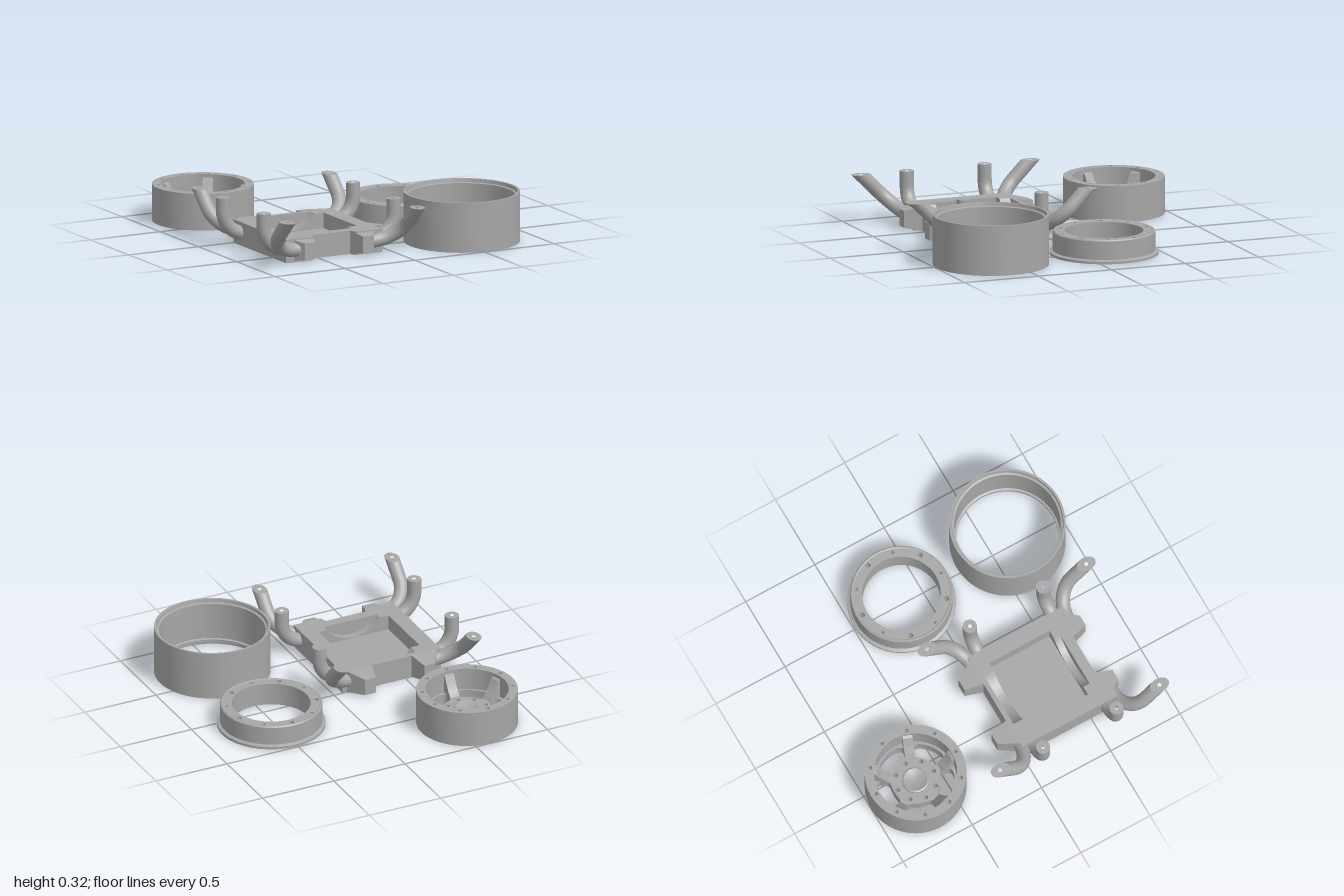
import * as THREE from 'three';
import { toCreasedNormals } from 'three/addons/utils/BufferGeometryUtils.js';

const TAU = Math.PI * 2;

export function createModel() {
  const model = new THREE.Group();
  const grey = new THREE.MeshStandardMaterial({ color: 0xa6a6a6 });
  grey.name = 'plain grey';

  const add = (parent, name, geo, crease = 0.6) => {
    const mesh = new THREE.Mesh(crease ? toCreasedNormals(geo, crease) : geo, grey);
    mesh.name = name;
    parent.add(mesh);
    return mesh;
  };
  const group = (name, x, z) => {
    const g = new THREE.Group();
    g.name = name;
    g.position.set(x, 0, z);
    model.add(g);
    return g;
  };
  const circle = (r, n = 72, cx = 0, cz = 0) => Array.from({ length: n }, (_, i) =>
    new THREE.Vector2(cx + r * Math.cos(i / n * TAU), cz + r * Math.sin(i / n * TAU)));
  const polygon = (pts) => new THREE.Shape(pts.map((p) => new THREE.Vector2(...p)));
  const punch = (shape, pts) => shape.holes.push(new THREE.Path(pts));
  const punchRing = (shape, count, ringR, r, start) => {
    for (let i = 0; i < count; i++) {
      const a = start + i / count * TAU;
      punch(shape, circle(r, 14, ringR * Math.cos(a), ringR * Math.sin(a)));
    }
  };
  // Horizontal slab from a plan drawn in (x, z)
  const slab = (shape, y0, y1) =>
    new THREE.ExtrudeGeometry(shape, { depth: y1 - y0, bevelEnabled: false, curveSegments: 24 })
      .rotateX(Math.PI / 2).translate(0, y1, 0);
  // Closed ring from an (r, y) profile, listed counterclockwise
  const ring = (pts) => new THREE.LatheGeometry(
    [...pts, pts[0]].map((p) => new THREE.Vector2(...p)), 96);

  // ---- Wheel with five spokes ----
  const wheel = group('wheel', -0.595, -0.68);
  const rim = new THREE.Shape(circle(0.32, 96));
  punch(rim, circle(0.262, 96));
  punchRing(rim, 10, 0.287, 0.013, Math.PI / 2);
  add(wheel, 'wheelRim', slab(rim, 0, 0.235));

  const disc = new THREE.Shape(circle(0.264, 96));
  punchRing(disc, 8, 0.13, 0.015, 0);
  punch(disc, circle(0.08, 40));
  for (let i = 0; i < 5; i++) {
    // Rounded window between two spokes
    const mid = -Math.PI / 2 + i / 5 * TAU;
    const pts = [];
    for (let k = 0; k < 40; k++) {
      const t = k / 40 * TAU, c = Math.cos(t), s = Math.sin(t);
      const a = mid + 0.49 * Math.sign(c) * Math.sqrt(Math.abs(c));
      const r = 0.201 + 0.046 * Math.sign(s) * Math.sqrt(Math.abs(s));
      pts.push(new THREE.Vector2(r * Math.cos(a), r * Math.sin(a)));
    }
    punch(disc, pts);
  }
  add(wheel, 'wheelDisc', slab(disc, 0.008, 0.09));

  const spoke = polygon([[0.155, 0.05], [0.265, 0.05], [0.265, 0.215], [0.245, 0.205],
    [0.225, 0.165], [0.2, 0.125], [0.175, 0.1]]);
  for (let i = 0; i < 5; i++) {
    const geo = new THREE.ExtrudeGeometry(spoke, { depth: 0.064, bevelEnabled: false });
    geo.translate(0, 0, -0.032);
    add(wheel, 'spoke', geo).rotation.y = -(Math.PI / 2 + i / 5 * TAU);
  }
  add(wheel, 'hubCap', new THREE.LatheGeometry([[0, 0.015], [0.07, 0.015], [0.085, 0.008],
    [0.085, 0.105], [0.075, 0.11], [0.055, 0.1], [0, 0.09]].map((p) => new THREE.Vector2(...p)), 48));

  // ---- Flanged bead ring ----
  const bead = group('beadRing', 0.515, -0.15);
  const beadPlan = new THREE.Shape(circle(0.305, 96));
  punch(beadPlan, circle(0.247, 96));
  punchRing(beadPlan, 5, 0.284, 0.017, -Math.PI / 2);
  punchRing(beadPlan, 5, 0.284, 0.011, Math.PI / 2);
  add(bead, 'beadRingBody', slab(beadPlan, 0, 0.147));
  add(bead, 'beadRingFlange', ring([[0.304, 0], [0.342, 0], [0.342, 0.016], [0.322, 0.024],
    [0.322, 0.143], [0.316, 0.15], [0.31, 0.15], [0.304, 0.146]]));

  // ---- Large outer barrel ----
  const barrel = group('outerBarrel', 0.54, 0.63);
  add(barrel, 'barrelWall', ring([[0.352, 0], [0.366, 0], [0.366, 0.32], [0.352, 0.32],
    [0.348, 0.298], [0.335, 0.294], [0.335, 0.05], [0.322, 0.045], [0.322, 0.025], [0.348, 0.02]]));

  // ---- Chassis with pocket ----
  const chassis = group('chassis', -0.405, 0);
  const outline = [[-0.345, 0], [0.345, 0], [0.345, 0.69], [0.155, 0.69],
    [0.138, 0.645], [-0.138, 0.645], [-0.155, 0.69], [-0.345, 0.69]];
  const pocket = [[-0.245, 0.03], [0.245, 0.03], [0.245, 0.58], [-0.245, 0.58]];
  const frame = polygon(outline);
  punch(frame, pocket.map((p) => new THREE.Vector2(...p)));
  add(chassis, 'chassisFloor', slab(polygon(outline), 0, 0.05));
  add(chassis, 'chassisFrame', slab(frame, 0.05, 0.15));

  // Curved saddles at both ends of the pocket
  const saddle = new THREE.Shape();
  saddle.moveTo(-0.245, 0.05);
  saddle.lineTo(0.245, 0.05);
  saddle.lineTo(0.245, 0.15);
  saddle.lineTo(0.185, 0.15);
  saddle.absarc(0, 0.2827, 0.2277, -0.622, -2.519, true);
  saddle.lineTo(-0.245, 0.15);
  for (const [z0, z1] of [[0.03, 0.1], [0.535, 0.58]]) {
    const geo = new THREE.ExtrudeGeometry(saddle, { depth: z1 - z0, bevelEnabled: false, curveSegments: 24 });
    add(chassis, 'saddle', geo.translate(0, 0, z0));
  }

  // Tapered lugs at the four corners
  const lug = (sx, z0, z1) => {
    const geo = new THREE.BoxGeometry(0.175, 0.15, Math.abs(z1 - z0));
    const p = geo.attributes.position, mid = (z0 + z1) / 2, out = Math.sign(z1 - z0);
    for (let i = 0; i < p.count; i++) {
      const tip = p.getZ(i) * out > 0;
      const x = tip ? 0.208 + p.getX(i) * sx * 0.43 : 0.2275 + p.getX(i) * sx;
      p.setXYZ(i, sx * x, 0.075 + p.getY(i) * (tip ? 0.72 : 1), mid + p.getZ(i));
    }
    add(chassis, 'cornerLug', geo, 0.2);
  };

  // Bent tube arm, its top cut level at y = 0.32
  const R = 0.045, TOP = 0.32, Y0 = 0.08, REACH = 0.465;
  const arm = (sx, z, lean, bend) => {
    const dir = new THREE.Vector3(0, Math.cos(lean), Math.sin(lean));
    const at = (s, v) => new THREE.Vector3(sx * s, Y0, z).addScaledVector(dir, v);
    const pts = [at(0.26, 0)];
    for (let i = 0; i <= 10; i++) {
      const a = i / 10 * Math.PI / 2;
      pts.push(at(REACH - bend + bend * Math.sin(a), bend * (1 - Math.cos(a))));
    }
    const len = (TOP - Y0) / dir.y;
    pts.push(at(REACH, (bend + len) / 2), at(REACH, len), at(REACH, len + 0.07));
    const geo = new THREE.TubeGeometry(new THREE.CatmullRomCurve3(pts), 40, R, 24);
    const p = geo.attributes.position;
    for (let i = 0; i < p.count; i++) {
      const over = (p.getY(i) - TOP) / dir.y;
      if (over > 0) p.setXYZ(i, p.getX(i), TOP, p.getZ(i) - over * dir.z);
    }
    add(chassis, 'arm', geo, 0);

    // Level top face with its bolt hole
    const cap = new THREE.Shape(circle(R, 24).map((q) => new THREE.Vector2(q.x, q.y / dir.y)));
    punch(cap, circle(0.013, 16));
    const end = at(REACH, len);
    add(chassis, 'armTop', new THREE.ShapeGeometry(cap).rotateX(-Math.PI / 2).translate(end.x, TOP, end.z), 0);
  };
  for (const sx of [-1, 1]) {
    lug(sx, 0, -0.12);
    lug(sx, 0.645, 0.755);
    arm(sx, 0.085, 0, 0.15);
    arm(sx, 0.615, 0, 0.15);
    arm(sx, 0.015, -Math.PI / 4, 0.19);
    arm(sx, 0.687, Math.PI / 4, 0.19);
  }
  return model;
}
